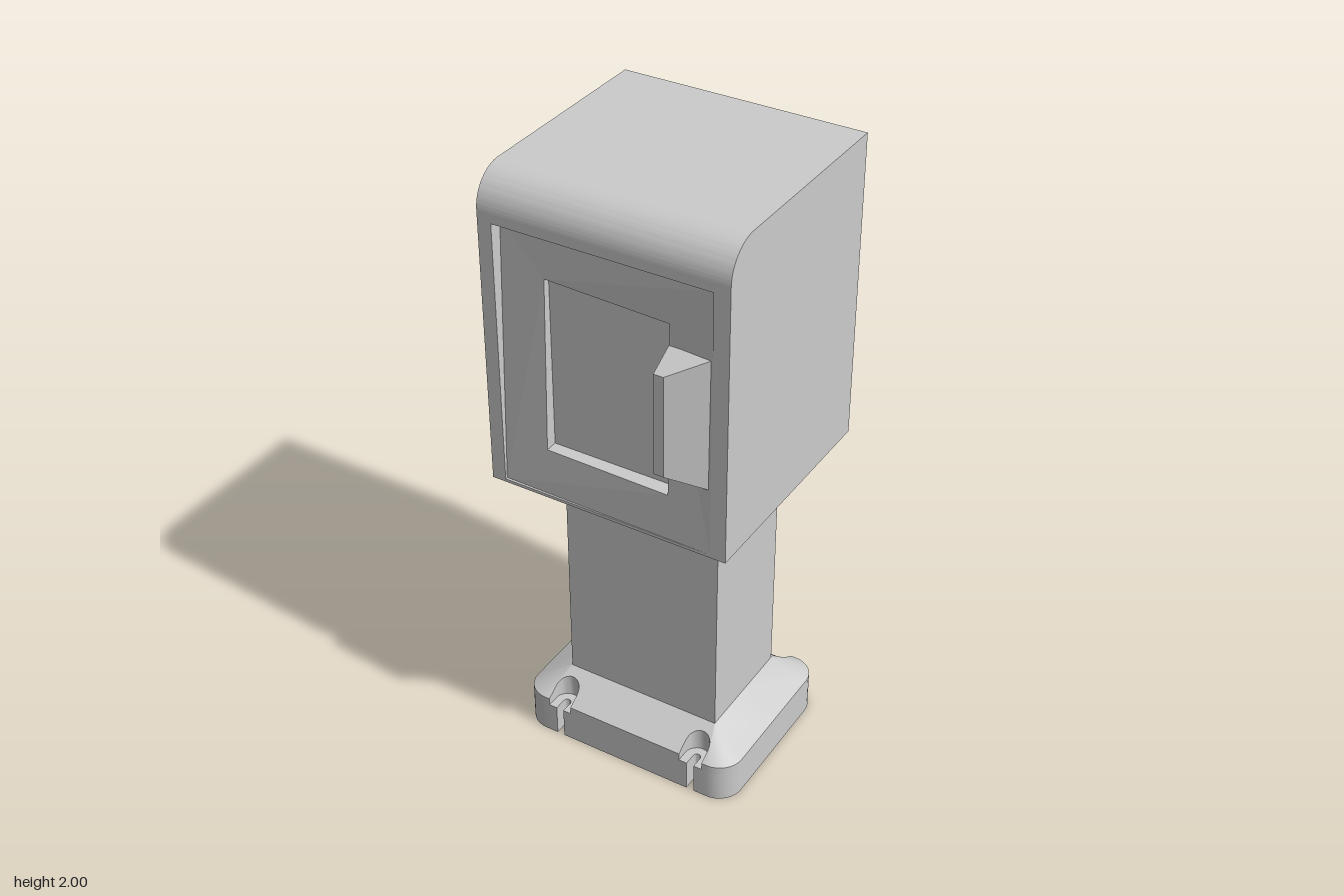
import * as THREE from 'three';
import { toCreasedNormals } from 'three/addons/utils/BufferGeometryUtils.js';

const solid = new THREE.MeshStandardMaterial({ color: 0xcccccc });
const sheet = new THREE.MeshStandardMaterial({ color: 0xcccccc, side: THREE.DoubleSide });

function add(parent, name, geometry, material = solid) {
  const mesh = new THREE.Mesh(geometry, material);
  mesh.name = name;
  parent.add(mesh);
  return mesh;
}

// Surface between a lower and an upper row of [x, y, z] points
function loft(lower, upper) {
  const p = [];
  for (let i = 0; i + 1 < lower.length; i++) {
    const [a, b, c, d] = [lower[i], upper[i], upper[i + 1], lower[i + 1]];
    p.push(...a, ...b, ...c, ...a, ...c, ...d);
  }
  const g = new THREE.BufferGeometry();
  g.setAttribute('position', new THREE.Float32BufferAttribute(p, 3));
  g.computeVertexNormals();
  return toCreasedNormals(g, 0.6);
}

// Flat plan outline of [x, z] points, facing up, lifted by height(z)
function planFace(points, height) {
  const shape = new THREE.Shape(points.map(([x, z]) => new THREE.Vector2(x, -z)));
  const g = new THREE.ShapeGeometry(shape).rotateX(-Math.PI / 2);
  const p = g.attributes.position;
  for (let i = 0; i < p.count; i++) p.setY(i, height(p.getZ(i)));
  g.computeVertexNormals();
  return g;
}

function rectPath(target, x0, x1, y0, y1) {
  target.moveTo(x0, y0);
  target.lineTo(x1, y0);
  target.lineTo(x1, y1);
  target.lineTo(x0, y1);
  target.closePath();
  return target;
}

// ---- Base: hollow plate with rounded corners, chamfer and four bolt notches
const W = 0.377, D = 0.29, R = 0.08;        // half width, half depth, corner radius
const CW = 0.2625, CD = 0.18;               // column half width and half depth
const EDGE = 0.13, TOP = 0.2, FLOOR = 0.105;
const BOLT_X = 0.24, BOLT_Z = 0.25;
const slopeY = z => EDGE + (TOP - EDGE) * (D - z) / (D - CD);

// U-shaped notch in the front edge, running from +x to -x
function notch(x, r) {
  const pts = [[x + r, D]];
  for (let i = 0; i <= 12; i++) {
    const a = Math.PI * i / 12;
    pts.push([x + r * Math.cos(a), BOLT_Z - r * Math.sin(a)]);
  }
  pts.push([x - r, D]);
  return pts;
}

const corner = [];
for (let i = 0; i <= 8; i++) {
  const a = Math.PI / 2 * i / 8;
  corner.push([W - R + R * Math.cos(a), D - R + R * Math.sin(a)]);
}
const mirror = pts => pts.map(([x, z]) => [-x, z]).reverse();
const frontEdge = r => [[W - R, D], ...notch(BOLT_X, r), ...notch(-BOLT_X, r), [R - W, D]];
const halfOutline = r => [[W, 0], ...corner, ...frontEdge(r), ...mirror(corner), [-W, 0]];
const at = (pts, y) => pts.map(([x, z]) => [x, y, z]);

function baseHalf() {
  const half = new THREE.Group();
  const SLOT = 0.0125, POCKET = 0.04;

  // Walls: narrow slots below, wide pockets above
  const low = halfOutline(SLOT), high = halfOutline(POCKET);
  add(half, 'baseLowerWall', loft(at(low, 0), at(low, FLOOR)), sheet);
  const rim = high.map(([x, z]) => {
    const inNotch = Math.abs(x) < W - R;
    return [x, inNotch ? slopeY(z) : EDGE, z];
  });
  add(half, 'baseUpperWall', loft(at(high, FLOOR), rim), sheet);

  // Pocket floors around each slot
  for (const x of [BOLT_X, -BOLT_X]) {
    const ring = [...notch(x, POCKET), ...notch(x, SLOT).reverse()];
    add(half, 'boltPocketFloor', planFace(ring, () => FLOOR), sheet);
  }

  // Chamfer: notched front strip, then corners with half of each side
  const strip = [...frontEdge(POCKET), [-CW, CD], [CW, CD]];
  add(half, 'baseFrontChamfer', planFace(strip, slopeY), sheet);
  const outer = [[W, 0], ...corner];
  const inner = outer.map((p, i) => [CW, i ? CD : 0]);
  add(half, 'baseSideChamfer', loft(at(outer, EDGE), at(inner, TOP)), sheet);
  add(half, 'baseSideChamfer', loft(at(mirror(outer), EDGE), at(mirror(inner), TOP)), sheet);
  return half;
}

// ---- Head: rounded housing with a sunken door, window and handle
const HW = 0.39, FRONT = 0.335, BACK = -0.41, INSET = 0.285;
const Y0 = 1.01, Y1 = 2, HR = 0.11;
const DOOR = [-0.345, 0.34, 1.02, 1.86];

function headCore() {
  const s = new THREE.Shape();
  s.moveTo(BACK, Y0);
  s.lineTo(INSET, Y0);
  s.lineTo(INSET, Y1 - HR);
  s.lineTo(FRONT, Y1 - HR);
  s.absarc(FRONT - HR, Y1 - HR, HR, 0, Math.PI / 2, false);
  s.lineTo(BACK, Y1);
  s.closePath();
  const g = new THREE.ExtrudeGeometry(s, { depth: 2 * HW, bevelEnabled: false, curveSegments: 16 });
  return toCreasedNormals(g.rotateY(-Math.PI / 2).translate(HW, 0, 0), 0.5);
}

function frontFrame() {
  const s = rectPath(new THREE.Shape(), -HW, HW, Y0, Y1 - HR);
  s.holes.push(rectPath(new THREE.Path(), ...DOOR));
  return new THREE.ExtrudeGeometry(s, { depth: FRONT - INSET, bevelEnabled: false }).translate(0, 0, INSET);
}

// The door face leans inwards towards its upper hinge corner
function doorPanel() {
  const s = rectPath(new THREE.Shape(), ...DOOR);
  s.holes.push(rectPath(new THREE.Path(), -0.2, 0.203, 1.17, 1.72));
  const g = new THREE.ExtrudeGeometry(s, { depth: FRONT - INSET, bevelEnabled: false }).translate(0, 0, INSET);
  const p = g.attributes.position;
  for (let i = 0; i < p.count; i++) {
    if (p.getZ(i) < FRONT - 0.01) continue;
    const u = (DOOR[1] - p.getX(i)) / (DOOR[1] - DOOR[0]);
    const v = (p.getY(i) - DOOR[2]) / (DOOR[3] - DOOR[2]);
    p.setZ(i, FRONT - u * (0.008 + 0.03 * v) - 0.003 * v);
  }
  g.computeVertexNormals();
  return g;
}

// Wedge grip: a box whose front face is narrowed
function handleGrip() {
  const g = new THREE.BoxGeometry(1, 1, 1).toNonIndexed();
  const p = g.attributes.position;
  for (let i = 0; i < p.count; i++) {
    const front = p.getZ(i) > 0, right = p.getX(i) > 0, up = p.getY(i) > 0;
    p.setXYZ(i,
      right ? (front ? 0.235 : 0.34) : 0.204,
      up ? (front ? 1.61 : 1.655) : (front ? 1.29 : 1.235),
      front ? 0.407 : 0.328);
  }
  g.computeVertexNormals();
  return g;
}

export function createModel() {
  const model = new THREE.Group();
  model.name = 'pedestalBox';

  // Stand: base halves and open column share one centre
  const stand = new THREE.Group();
  stand.name = 'stand';
  stand.position.z = -0.03;
  for (const [name, turn] of [['baseFront', 0], ['baseBack', Math.PI]]) {
    const half = baseHalf();
    half.name = name;
    half.rotation.y = turn;
    stand.add(half);
  }
  const ring = [[CW, -CD], [CW, CD], [-CW, CD], [-CW, -CD], [CW, -CD]];
  add(stand, 'column', loft(at(ring, TOP), at(ring, Y0)), sheet);
  model.add(stand);

  const head = new THREE.Group();
  head.name = 'head';
  add(head, 'housing', headCore());
  add(head, 'frontFrame', frontFrame());
  add(head, 'door', doorPanel());
  add(head, 'handle', handleGrip());
  model.add(head);
  return model;
}
